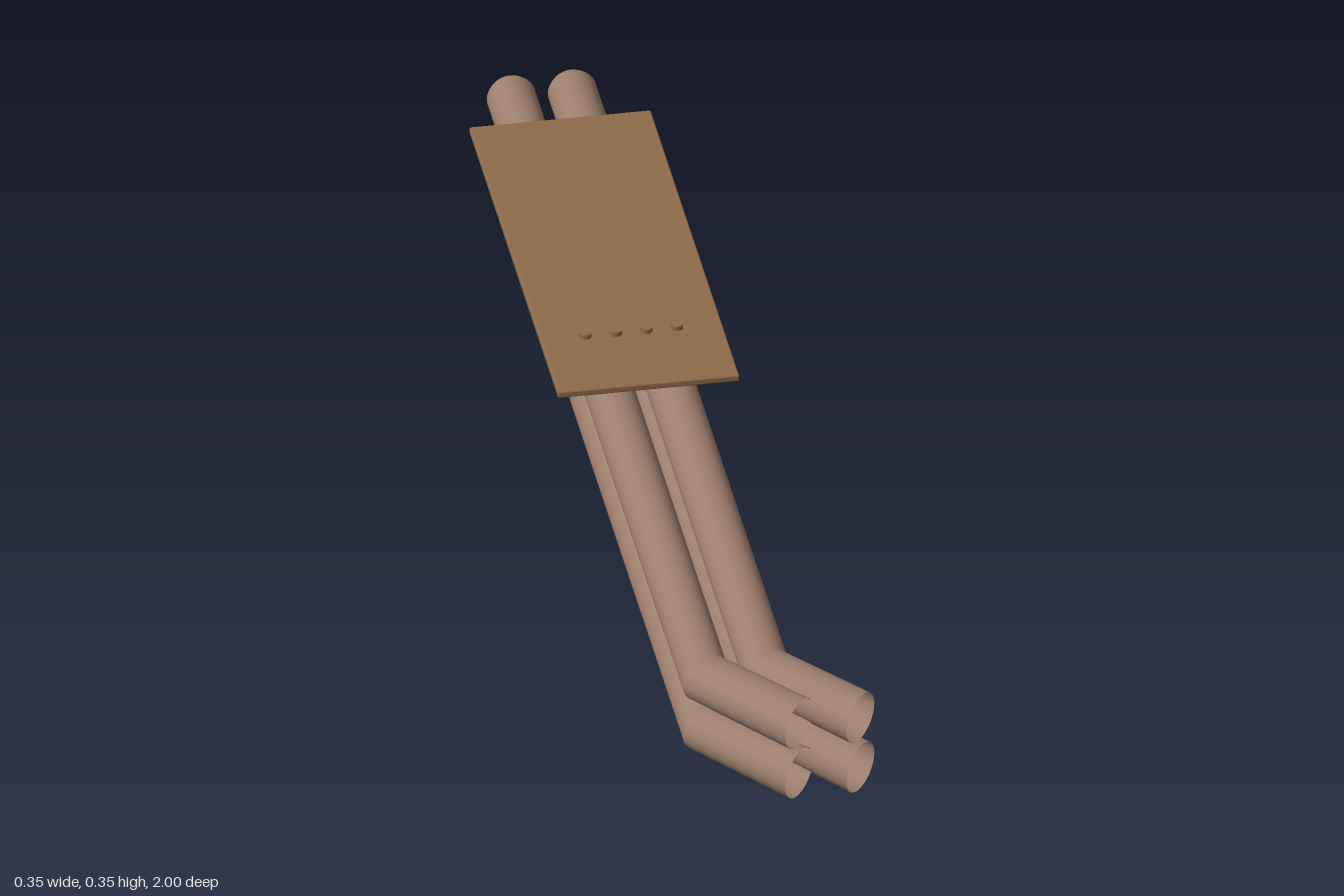
import * as THREE from 'three';
import { RoundedBoxGeometry } from 'three/addons/geometries/RoundedBoxGeometry.js';

const SIDES = 32;
const R = 0.04;

// Open band between two oval rings; each ring is [centreX, centreZ, halfX, halfZ, halfY]
function band(ringA, ringB) {
  const pos = [], index = [];
  for (const [cx, cz, hx, hz, hy] of [ringA, ringB]) {
    for (let j = 0; j < SIDES; j++) {
      const a = (j / SIDES) * Math.PI * 2;
      pos.push(cx + Math.cos(a) * hx, Math.sin(a) * hy, cz + Math.cos(a) * hz);
    }
  }
  for (let j = 0; j < SIDES; j++) {
    const k = (j + 1) % SIDES;
    index.push(j, k, SIDES + j, k, SIDES + k, SIDES + j);
  }
  const g = new THREE.BufferGeometry();
  g.setAttribute('position', new THREE.Float32BufferAttribute(pos, 3));
  g.setIndex(index);
  g.computeVertexNormals();
  return g;
}

export function createModel() {
  const model = new THREE.Group();
  model.name = 'fourTubeLauncher';

  const tubeMat = new THREE.MeshStandardMaterial({ color: 0x9c7f6d, side: THREE.DoubleSide });
  tubeMat.name = 'greyBrown';
  const woodMat = new THREE.MeshStandardMaterial({ color: 0x8f6b49 });
  woodMat.name = 'woodBrown';

  const add = (parent, name, geometry, material, x = 0, y = 0, z = 0) => {
    const m = new THREE.Mesh(geometry, material);
    m.name = name;
    m.position.set(x, y, z);
    parent.add(m);
    return m;
  };

  // Tube: bevelled closed rear, long straight run, angled open mouth
  const rings = [
    [0, -1, 0.035, 0, 0.035],
    [0, -0.99, R, 0, R],
    [0, 0.793, R, -0.02, R],
    [0.125, 0.957, 0.03, -0.04, R],
  ];
  const bands = ['rearBevel', 'barrel', 'mouth'].map((name, i) => [name, band(rings[i], rings[i + 1])]);
  const capGeo = new THREE.CircleGeometry(0.035, SIDES).rotateY(Math.PI);

  for (const y of [0.2, 0.294]) {
    for (const x of [-0.08, 0.02]) {
      const tube = new THREE.Group();
      tube.name = 'tube';
      tube.position.set(x, y, 0);
      for (const [name, geo] of bands) add(tube, name, geo, tubeMat);
      add(tube, 'rearCap', capGeo, woodMat, 0, 0, -1);
      model.add(tube);
    }
  }

  // Flat top board
  add(model, 'topBoard', new RoundedBoxGeometry(0.297, 0.012, 0.816, 2, 0.003), woodMat, -0.0285, 0.341, -0.422);

  // Row of pegs on the board
  const pegGeo = new THREE.CylinderGeometry(0.0105, 0.0105, 0.015, 12).scale(1, 1, 1.2);
  for (let i = 0; i < 4; i++) {
    add(model, 'peg', pegGeo, woodMat, -0.104 + i * 0.05, 0.3475, -0.175);
  }

  // Handle below the tubes
  add(model, 'handle', new RoundedBoxGeometry(0.05, 0.19, 0.1, 3, 0.006), woodMat, -0.0285, 0.095, -0.25);

  return model;
}
